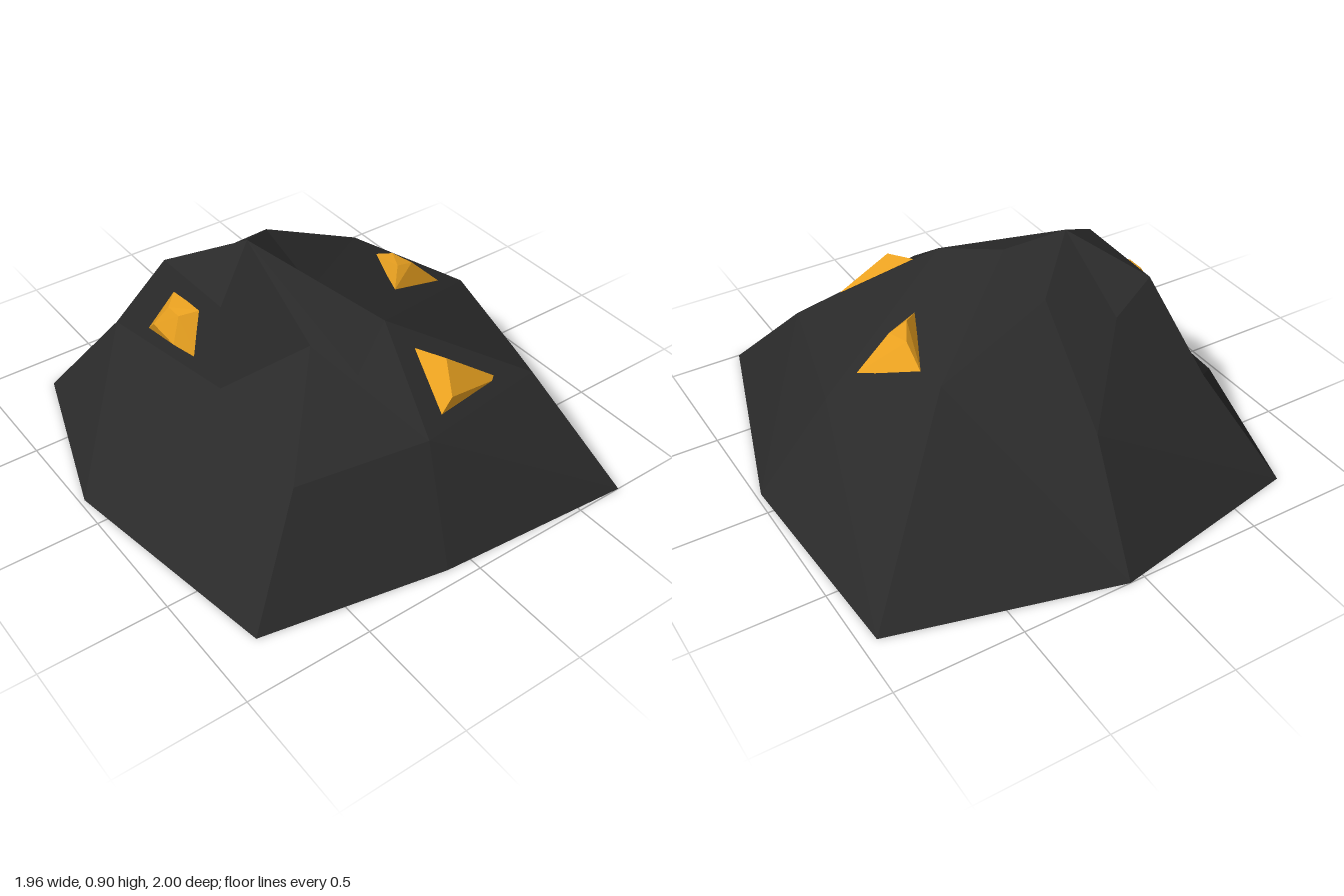
import * as THREE from 'three';
import { ConvexGeometry } from 'three/addons/geometries/ConvexGeometry.js';

const rockMat = new THREE.MeshStandardMaterial({ color: 0x2a2a2a, flatShading: true });
const oreMat = new THREE.MeshStandardMaterial({ color: 0xe8a020, flatShading: true });

// Three loops of eight corners, running round from the back left corner
const base = [[-0.75, 0, -0.84], [0.06, 0, -1], [0.94, 0, -0.77], [0.98, 0, 0.11],
  [0.7, 0, 1], [-0.1, 0, 0.94], [-0.83, 0, 0.8], [-0.98, 0, -0.14]];
const shoulder = [[-0.56, 0.4, -0.57], [0, 0.42, -0.68], [0.42, 0.56, -0.31], [0.72, 0.41, 0.02],
  [0.56, 0.39, 0.62], [-0.03, 0.42, 0.72], [-0.53, 0.38, 0.6], [-0.53, 0.52, 0.15]];
const crown = [[-0.44, 0.76, -0.36], [-0.26, 0.67, -0.41], [-0.02, 0.77, -0.3], [-0.09, 0.75, 0.1],
  [0.06, 0.68, 0.34], [-0.12, 0.56, 0.42], [-0.2, 0.62, 0.24], [-0.44, 0.77, 0.03]];
const peak = [-0.23, 0.9, -0.11];

function moundGeometry() {
  const pos = [];
  const tri = (...corners) => corners.forEach((c) => pos.push(...c));
  // joins two loops; slots in flips have their quad split along the other diagonal
  const band = (lo, hi, flips) => {
    for (let i = 0; i < 8; i++) {
      const j = (i + 1) % 8;
      if (flips.includes(i)) {
        tri(lo[j], lo[i], hi[i]);
        tri(lo[j], hi[i], hi[j]);
      } else {
        tri(lo[j], lo[i], hi[j]);
        tri(lo[i], hi[i], hi[j]);
      }
    }
  };
  band(base, shoulder, []);
  band(shoulder, crown, [4, 6]);
  // peak and underside fans
  for (let i = 0; i < 8; i++) {
    const j = (i + 1) % 8;
    tri(crown[j], crown[i], peak);
    tri(base[i], base[j], [0, 0, 0]);
  }
  const geo = new THREE.BufferGeometry();
  geo.setAttribute('position', new THREE.Float32BufferAttribute(pos, 3));
  geo.computeVertexNormals();
  return geo;
}

// Cut nuggets; the last point of each is its root inside the rock
const nuggets = {
  frontNugget: [[0.11, 0.595, 0.43], [0.41, 0.42, 0.6], [0.07, 0.44, 0.66],
    [0.18, 0.585, 0.55], [0.13, 0.495, 0.65], [0.22, 0.48, 0.61], [0.18, 0.42, 0.54]],
  leftNugget: [[0.43, 0.54, -0.19], [0.295, 0.59, 0.11], [0.585, 0.47, 0.03],
    [0.37, 0.627, 0.03], [0.45, 0.605, 0.02], [0.425, 0.61, -0.07], [0.4, 0.46, 0]],
  rightNugget: [[-0.54, 0.5, -0.34], [-0.51, 0.53, -0.03], [-0.46, 0.7, -0.08], [-0.47, 0.69, -0.25],
    [-0.57, 0.58, -0.1], [-0.57, 0.59, -0.24], [-0.53, 0.68, -0.19], [-0.53, 0.68, -0.12], [-0.44, 0.58, -0.16]],
};

export function createModel() {
  const group = new THREE.Group();
  const mound = new THREE.Mesh(moundGeometry(), rockMat);
  mound.name = 'rockMound';
  group.add(mound);
  for (const [name, points] of Object.entries(nuggets)) {
    const nugget = new THREE.Mesh(new ConvexGeometry(points.map((p) => new THREE.Vector3(...p))), oreMat);
    nugget.name = name;
    group.add(nugget);
  }
  return group;
}
